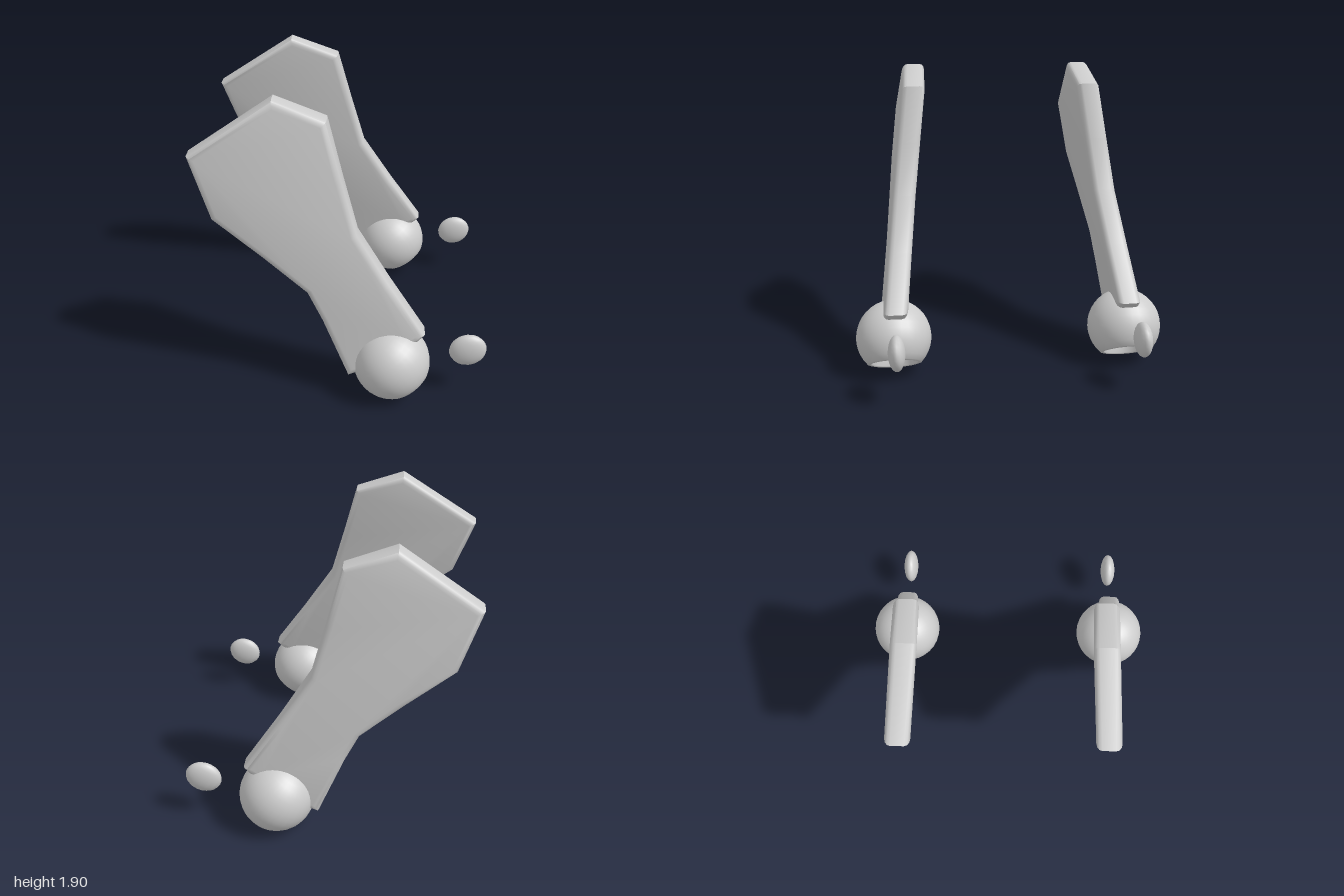
import * as THREE from 'three';
import { toCreasedNormals } from 'three/addons/utils/BufferGeometryUtils.js';

const material = new THREE.MeshStandardMaterial({ color: 0xcccccc });

// Flat paddle outline, from the wide top down to the notched end around the ball
const OUTLINE = [
  [-0.9, 1.56], [-0.77, 1.18], [-0.47, 0.94], [-0.21, 0.72], [-0.12, 0.54],
  [0.04, 0.16], [0.09, 0.18], [0.25, 0.22], [0.42, 0.38], [0.47, 0.41],
  [0.51, 0.45], [0.29, 0.78], [0.09, 1.1], [0.0, 1.43], [-0.09, 1.78], [-0.4, 1.895],
];

function add(group, name, geometry) {
  const mesh = new THREE.Mesh(geometry, material);
  mesh.name = name;
  group.add(mesh);
  return mesh;
}

// Paddle with a thin rim and fuller middle, leaning inward towards the top
function paddleGeometry(side) {
  const shape = new THREE.Shape(OUTLINE.map(([x, y]) => new THREE.Vector2(x, y)));
  const geo = new THREE.ExtrudeGeometry(shape, {
    depth: 0.08, bevelThickness: 0.035, bevelSize: 0.04, bevelOffset: -0.04, bevelSegments: 3,
  });
  geo.translate(0, 0, -0.04);
  const p = geo.attributes.position;
  for (let i = 0; i < p.count; i++) {
    p.setZ(i, p.getZ(i) + side * (0.797 - 0.125 * p.getY(i)));
  }
  return toCreasedNormals(geo, 0.8);
}

// Ball with a hollow cup opening at its lower end
function ballGeometry() {
  const profile = [];
  for (let i = 0; i <= 6; i++) {
    const a = (i / 6) * Math.PI / 2;
    profile.push(new THREE.Vector2(0.145 * Math.sin(a), -0.165 + 0.12 * Math.cos(a)));
  }
  profile.push(new THREE.Vector2(0.155, -0.172));
  for (let i = 0; i <= 14; i++) {
    const a = -0.77 + (i / 14) * (Math.PI / 2 + 0.77);
    profile.push(new THREE.Vector2(Math.max(0, 0.24 * Math.cos(a)), 0.24 * Math.sin(a)));
  }
  return new THREE.LatheGeometry(profile, 32);
}

function createArm(side) {
  const arm = new THREE.Group();
  arm.name = side > 0 ? 'frontArm' : 'backArm';
  add(arm, 'paddle', paddleGeometry(side));

  const ball = add(arm, 'hollowBall', ballGeometry());
  ball.position.set(0.31, 0.228, side * 0.757);
  ball.rotation.z = 0.57;

  // Small flattened bead floating beyond the ball
  const bead = add(arm, 'bead', new THREE.SphereGeometry(1, 16, 12));
  bead.scale.set(0.118, 0.108, 0.052);
  bead.position.set(0.782, 0.318, side * 0.748);
  bead.rotation.z = 0.5;
  return arm;
}

export function createModel() {
  const model = new THREE.Group();
  model.name = 'pairedArms';
  for (const side of [1, -1]) model.add(createArm(side));
  return model;
}
